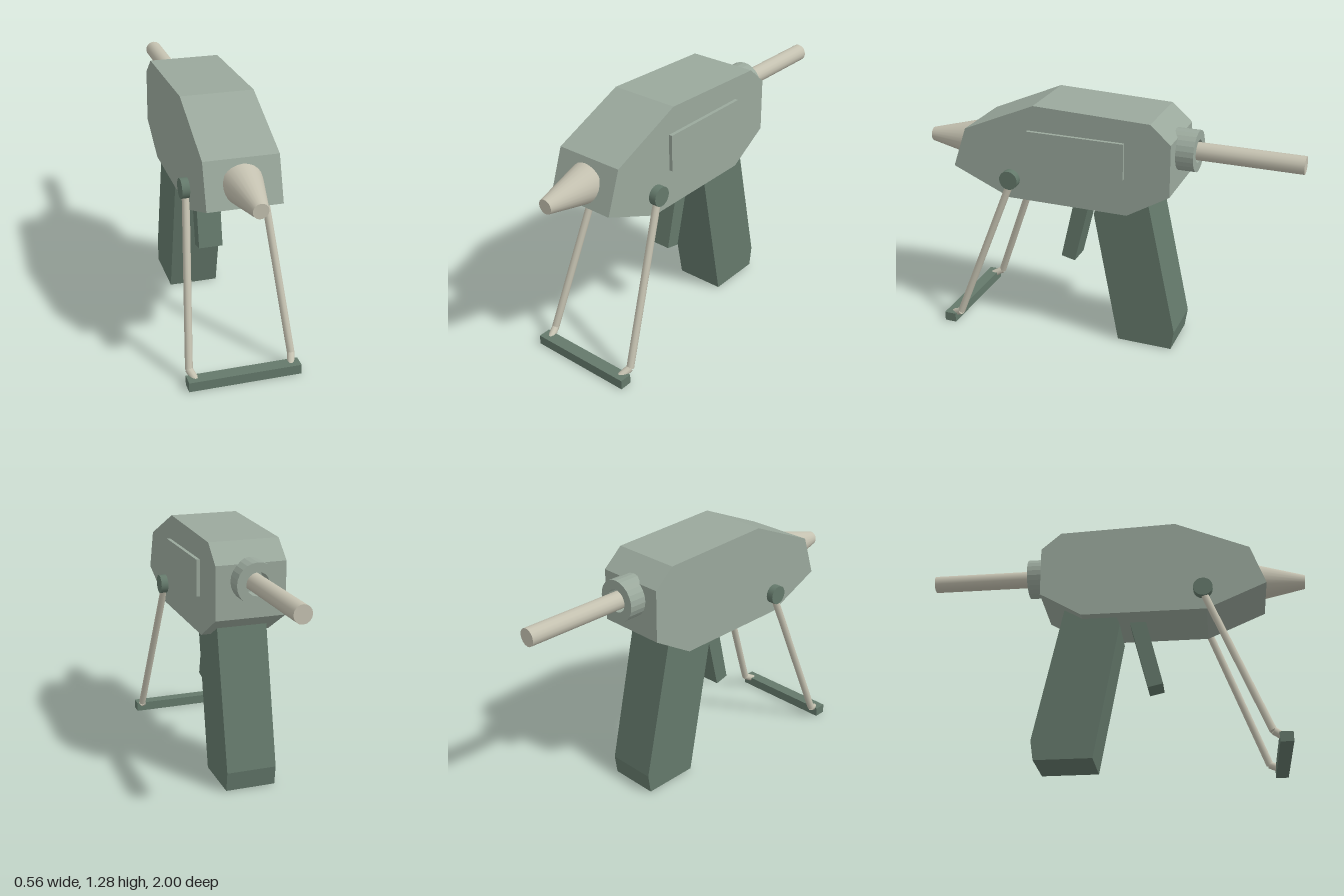
import * as THREE from 'three';

const shell = new THREE.MeshStandardMaterial({ color: 0x9aa89c });
const dark = new THREE.MeshStandardMaterial({ color: 0x64796b });
const pale = new THREE.MeshStandardMaterial({ color: 0xc4c1b0 });

export function createModel() {
  const model = new THREE.Group();
  model.name = 'glueGun';

  const add = (name, geometry, material) => {
    const mesh = new THREE.Mesh(geometry, material);
    mesh.name = name;
    model.add(mesh);
    return mesh;
  };

  // Side outline of [z, y] points, extruded across x and centred
  const slab = (name, outline, width, material) => {
    const shape = new THREE.Shape(outline.map(([z, y]) => new THREE.Vector2(-z, y)));
    const geometry = new THREE.ExtrudeGeometry(shape, { depth: width, bevelEnabled: false });
    geometry.translate(0, 0, -width / 2).rotateY(Math.PI / 2);
    return add(name, geometry, material);
  };

  // Capped round bar between two points, with a radius at each end
  const bar = (name, from, to, r0, r1, sides, material) => {
    const a = new THREE.Vector3(...from);
    const b = new THREE.Vector3(...to);
    const dir = b.clone().sub(a);
    const mesh = add(name, new THREE.CylinderGeometry(r1, r0, dir.length(), sides), material);
    mesh.position.copy(a).add(b).multiplyScalar(0.5);
    mesh.quaternion.setFromUnitVectors(new THREE.Vector3(0, 1, 0), dir.normalize());
    return mesh;
  };

  // Main housing
  slab('body', [
    [0.33, 1.277], [-0.28, 1.257], [-0.385, 1.165], [-0.385, 0.895],
    [-0.165, 0.763], [0.48, 0.763], [0.79, 0.897], [0.715, 1.11],
  ], 0.36, shell);

  // Raised plate on the left side
  add('sidePanel', new THREE.BoxGeometry(0.03, 0.187, 0.515), shell).position.set(0.183, 1.052, 0.107);

  // Handle and trigger
  slab('grip', [
    [0.03, 0.72], [0, 0.8], [-0.254, 0.85], [-0.415, 0.105], [-0.4, 0.003], [-0.105, 0.003],
  ], 0.26, dark);
  slab('trigger', [[0.243, 0.41], [0.167, 0.393], [0.067, 0.8], [0.147, 0.82]], 0.125, dark);

  // Nozzle cone
  bar('nozzle', [0, 0.992, 0.735], [0, 0.983, 1], 0.099, 0.037, 24, pale);

  // Rear collar ring and the stick through it
  const ring = [[0.058, -0.09], [0.105, -0.09], [0.105, 0.09], [0.058, 0.09], [0.058, -0.09]];
  const collarGeometry = new THREE.LatheGeometry(ring.map(([r, y]) => new THREE.Vector2(r, y)), 24);
  const collar = add('rearCollar', collarGeometry.toNonIndexed(), shell);
  collar.geometry.computeVertexNormals();
  collar.rotation.x = Math.PI / 2;
  collar.position.set(0, 1.085, -0.385);
  bar('glueStick', [0, 1.085, -0.3], [0, 1.085, -1], 0.045, 0.045, 16, pale);

  // Folding stand: pivots, bent wire legs and a foot bar
  for (const [side, s] of [['left', 1], ['right', -1]]) {
    const knee = [s * 0.257, 0.063, 0.767];
    bar(side + 'Pivot', [s * 0.15, 0.872, 0.465], [s * 0.218, 0.872, 0.465], 0.05, 0.05, 20, dark);
    bar(side + 'Leg', [s * 0.189, 0.86, 0.462], knee, 0.019, 0.019, 10, pale);
    bar(side + 'LegEnd', knee, [s * 0.237, 0.032, 0.825], 0.019, 0.019, 10, pale);
  }
  add('footBar', new THREE.BoxGeometry(0.56, 0.05, 0.064), dark).position.set(0, 0.025, 0.826);

  return model;
}
